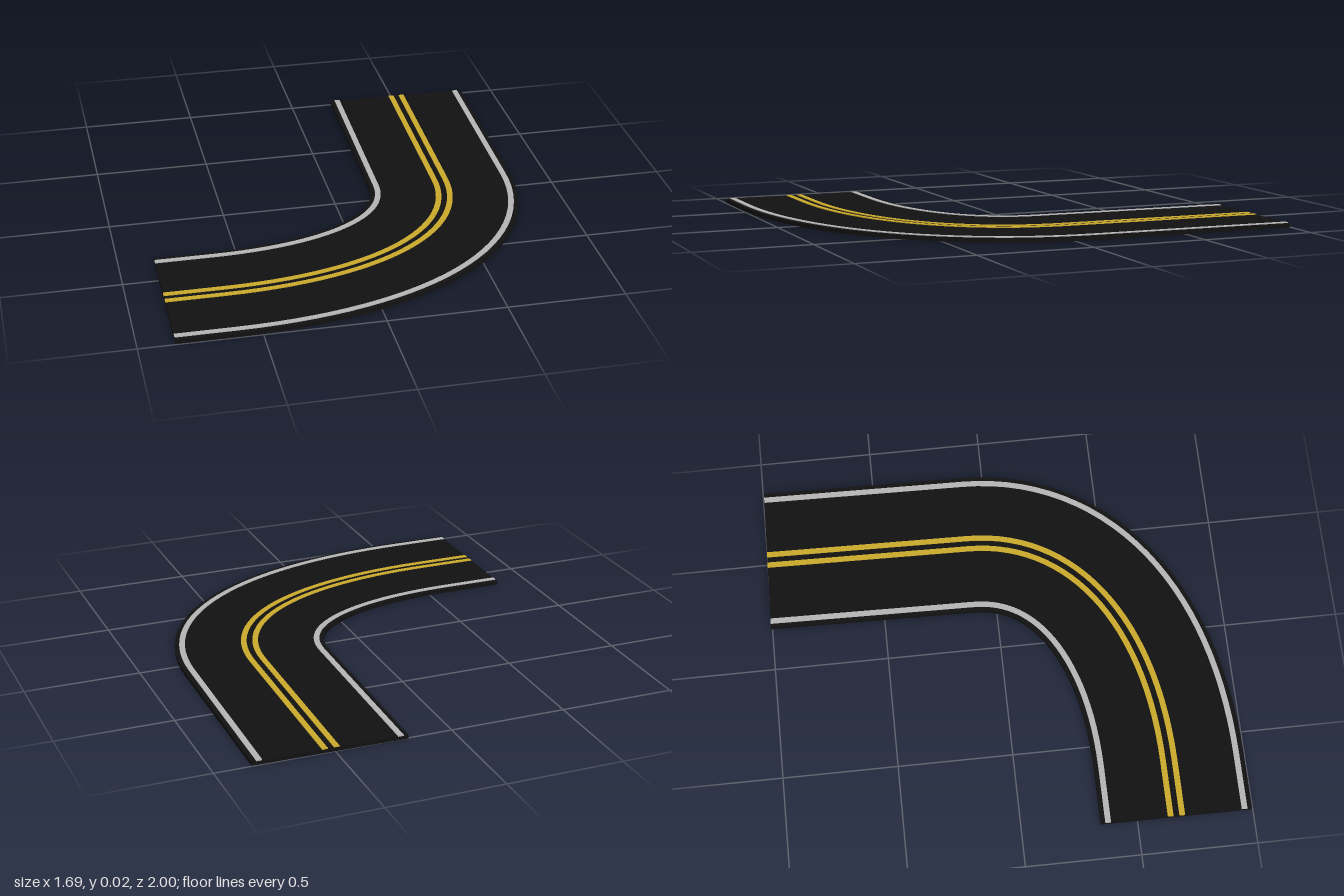
import * as THREE from 'three';

const v = (x, z) => new THREE.Vector3(x, 0, z);

// Road centre line: straight, wide bend, straight
function centreLine() {
  const bend = new THREE.CubicBezierCurve3(v(0.503, -0.1), v(0.498, 0.36), v(0.07, 0.668), v(-0.6, 0.668));
  const points = [v(0.518, -1), ...bend.getPoints(28), v(-0.85, 0.668)];
  return points.map((p, i) => {
    const a = points[Math.max(i - 1, 0)], b = points[Math.min(i + 1, points.length - 1)];
    const t = b.clone().sub(a).normalize();
    return { p, side: v(-t.z, t.x).negate() }; // side points to the outer edge
  });
}

// Box-section strip swept along the line between two sideways offsets
function strip(name, line, inner, outer, bottom, top, color) {
  const positions = [];
  const corners = line.map(({ p, side }) =>
    [[inner, bottom], [inner, top], [outer, top], [outer, bottom]].map(([o, y]) =>
      [p.x + side.x * o, y, p.z + side.z * o]));
  const quad = (a, b, c, d) => positions.push(...a, ...b, ...c, ...a, ...c, ...d);
  for (let i = 0; i < corners.length - 1; i++) {
    const a = corners[i], b = corners[i + 1];
    for (let k = 0; k < 4; k++) {
      const n = (k + 1) % 4;
      quad(a[k], b[k], b[n], a[n]);
    }
  }
  // End caps
  const s = corners[0], e = corners[corners.length - 1];
  quad(s[0], s[1], s[2], s[3]);
  quad(e[3], e[2], e[1], e[0]);

  const geometry = new THREE.BufferGeometry();
  geometry.setAttribute('position', new THREE.Float32BufferAttribute(positions, 3));
  geometry.computeVertexNormals();
  const mesh = new THREE.Mesh(geometry, new THREE.MeshStandardMaterial({ color }));
  mesh.name = name;
  return mesh;
}

export function createModel() {
  const group = new THREE.Group();
  group.name = 'roadBend';
  const line = centreLine();

  // Asphalt slab
  group.add(strip('asphalt', line, -0.327, 0.327, 0, 0.017, 0x111111));

  // Painted lines: white near both edges, double yellow in the middle
  const paint = (name, offset, color) =>
    group.add(strip(name, line, offset - 0.0125, offset + 0.0125, 0.015, 0.02, color));
  for (const [label, s] of [['inner', -1], ['outer', 1]]) {
    paint(label + 'EdgeLine', s * 0.295, 0xb4b4b4);
    paint(label + 'CentreLine', s * 0.025, 0xc9a82c);
  }
  return group;
}
